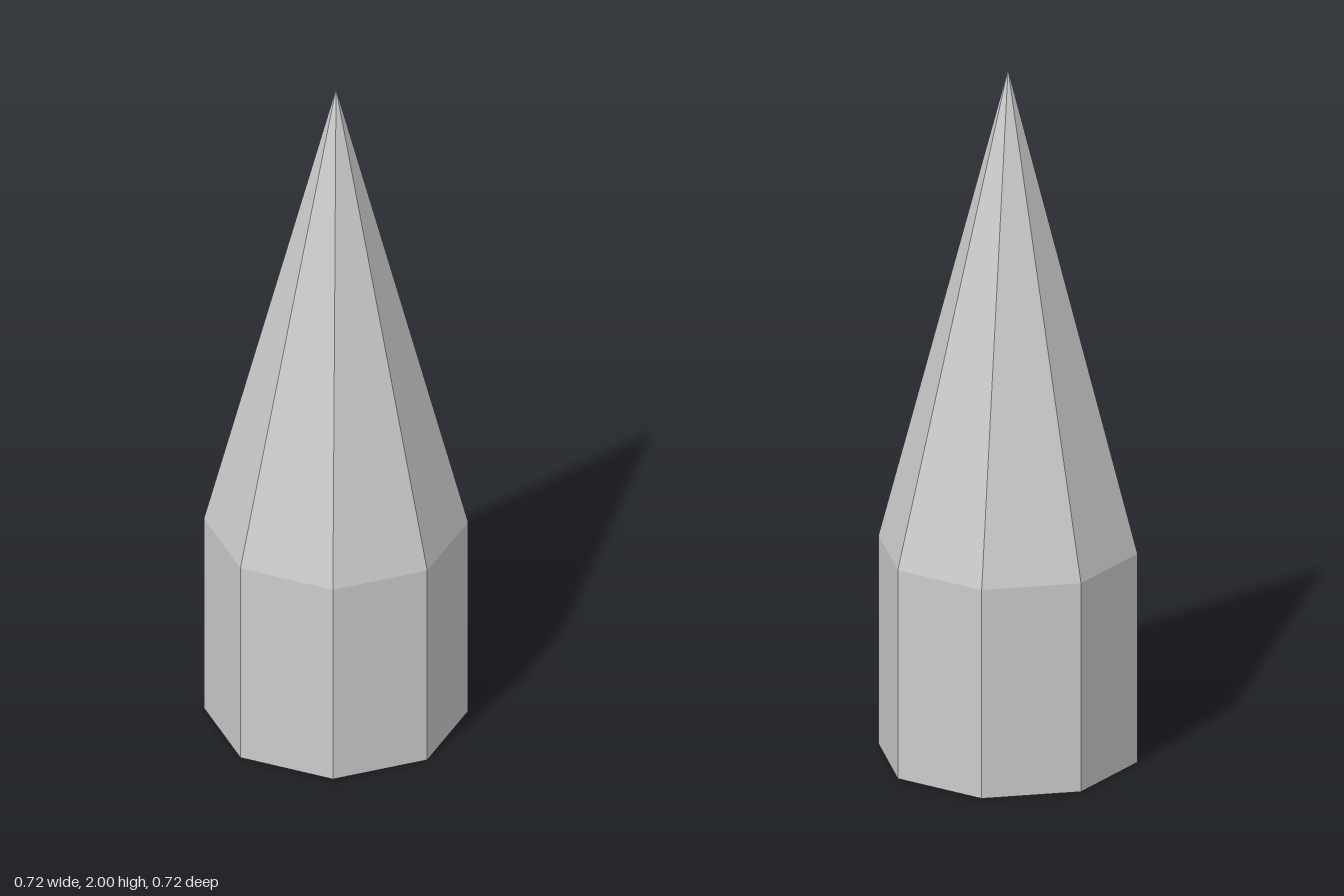
import * as THREE from 'three';

const RADIUS = 0.362;
const SHOULDER = 0.61; // height where the shaft meets the point
const HEIGHT = 2;
const SIDES = 8;

export function createModel() {
  const group = new THREE.Group();
  group.name = 'spike';
  const material = new THREE.MeshStandardMaterial({ color: 0xcccccc, flatShading: true });

  // One closed outline from base centre to tip, turned around y with eight sides
  const profile = [
    new THREE.Vector2(0, 0),
    new THREE.Vector2(RADIUS, 0),
    new THREE.Vector2(RADIUS, SHOULDER),
    new THREE.Vector2(0, HEIGHT),
  ];

  // Base cap with octagonal shaft, then the tapering point
  const parts = { shaft: profile.slice(0, 3), point: profile.slice(2) };
  for (const [name, outline] of Object.entries(parts)) {
    const mesh = new THREE.Mesh(new THREE.LatheGeometry(outline, SIDES), material);
    mesh.name = name;
    group.add(mesh);
  }
  return group;
}
